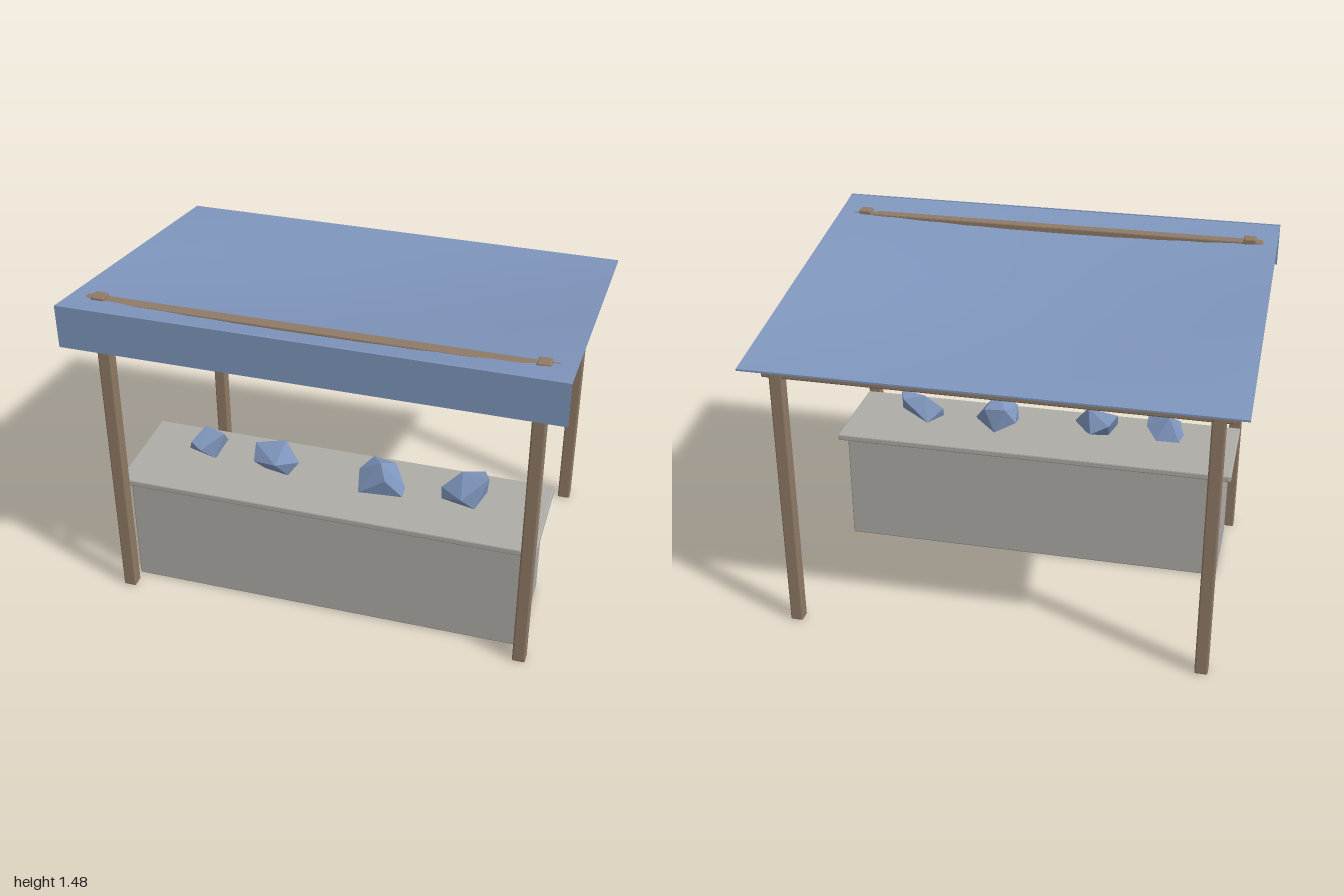
import * as THREE from 'three';
import { RoundedBoxGeometry } from 'three/addons/geometries/RoundedBoxGeometry.js';
import { ConvexGeometry } from 'three/addons/geometries/ConvexGeometry.js';

const mat = (name, color) => {
  const m = new THREE.MeshStandardMaterial({ color });
  m.name = name;
  return m;
};

export function createModel() {
  const wood = mat('brown wood', 0x8f7a66);
  const stone = mat('grey counter', 0xaeaca7);
  const blue = mat('blue cloth', 0x7f96bd);

  const model = new THREE.Group();
  model.name = 'marketStall';

  const add = (name, geometry, material) => {
    const mesh = new THREE.Mesh(geometry, material);
    mesh.name = name;
    model.add(mesh);
    return mesh;
  };

  // Box with small chamfered edges, given by its lower and upper corners
  const block = (name, material, [x0, y0, z0], [x1, y1, z1], bevel = 0.006) => {
    const g = new RoundedBoxGeometry(x1 - x0, y1 - y0, z1 - z0, 1, bevel);
    g.computeVertexNormals();
    add(name, g, material).position.set((x0 + x1) / 2, (y0 + y1) / 2, (z0 + z1) / 2);
  };

  // Counter
  block('counterBody', stone, [-0.868, 0.005, 0.1], [0.868, 0.518, 0.507]);
  block('counterTop', stone, [-0.905, 0.516, 0.072], [0.905, 0.546, 0.538]);

  // Posts and the cross beams they carry
  const r = 0.0275;
  for (const [row, z, height, beamY] of [['front', 0.572, 1.47, 1.405], ['back', -0.608, 1.235, 1.17]]) {
    for (const [side, x] of [['Left', 0.88], ['Right', -0.88]]) {
      block(row + side + 'Post', wood, [x - r, 0.003, z - r], [x + r, height, z + r]);
    }
    block(row + 'Beam', wood, [-0.94, beamY, z - 0.025], [0.94, beamY + 0.052, z + 0.025]);
  }

  // Sloping canopy that sags in the middle and is straight along its edges
  const canopy = new THREE.BoxGeometry(2, 0.008, 1.45, 10, 1, 5);
  const p = canopy.attributes.position;
  for (let i = 0; i < p.count; i++) {
    const x = p.getX(i), z = p.getZ(i);
    const sag = 0.066 * Math.cos((x * Math.PI) / 2) * Math.cos((z * Math.PI) / 1.45);
    p.setY(i, p.getY(i) + 1.36 + 0.166 * z - sag);
  }
  canopy.computeVertexNormals();
  add('canopy', canopy, blue);

  // Hanging front flap
  add('valance', new THREE.BoxGeometry(2, 0.185, 0.008), blue).position.set(0, 1.392, 0.721);

  // Faceted rocks on the counter, each the hull of a few points
  const rocks = [
    [[-0.665, 0.6, 0.31], [-0.645, 0.655, 0.34], [-0.6, 0.705, 0.27], [-0.505, 0.697, 0.3],
      [-0.5, 0.65, 0.27], [-0.54, 0.583, 0.33], [-0.65, 0.58, 0.27], [-0.59, 0.645, 0.375],
      [-0.55, 0.6, 0.23]],
    [[-0.365, 0.675, 0.29], [-0.23, 0.705, 0.28], [-0.165, 0.62, 0.31], [-0.21, 0.558, 0.33],
      [-0.32, 0.56, 0.31], [-0.36, 0.61, 0.34], [-0.25, 0.635, 0.38], [-0.25, 0.6, 0.225],
      [-0.33, 0.64, 0.24]],
    [[0.11, 0.66, 0.33], [0.205, 0.713, 0.34], [0.25, 0.66, 0.25], [0.305, 0.585, 0.31],
      [0.3, 0.555, 0.34], [0.115, 0.565, 0.37], [0.105, 0.6, 0.26], [0.2, 0.555, 0.23],
      [0.23, 0.64, 0.365], [0.15, 0.67, 0.24]],
    [[0.46, 0.615, 0.3], [0.465, 0.57, 0.32], [0.61, 0.558, 0.34], [0.65, 0.61, 0.28],
      [0.66, 0.696, 0.3], [0.54, 0.69, 0.27], [0.56, 0.62, 0.38], [0.52, 0.57, 0.23],
      [0.63, 0.68, 0.23]],
  ];
  rocks.forEach((points, i) => {
    const hull = new ConvexGeometry(points.map((q) => new THREE.Vector3(...q)));
    add('rock' + (i + 1), hull, blue);
  });

  return model;
}
